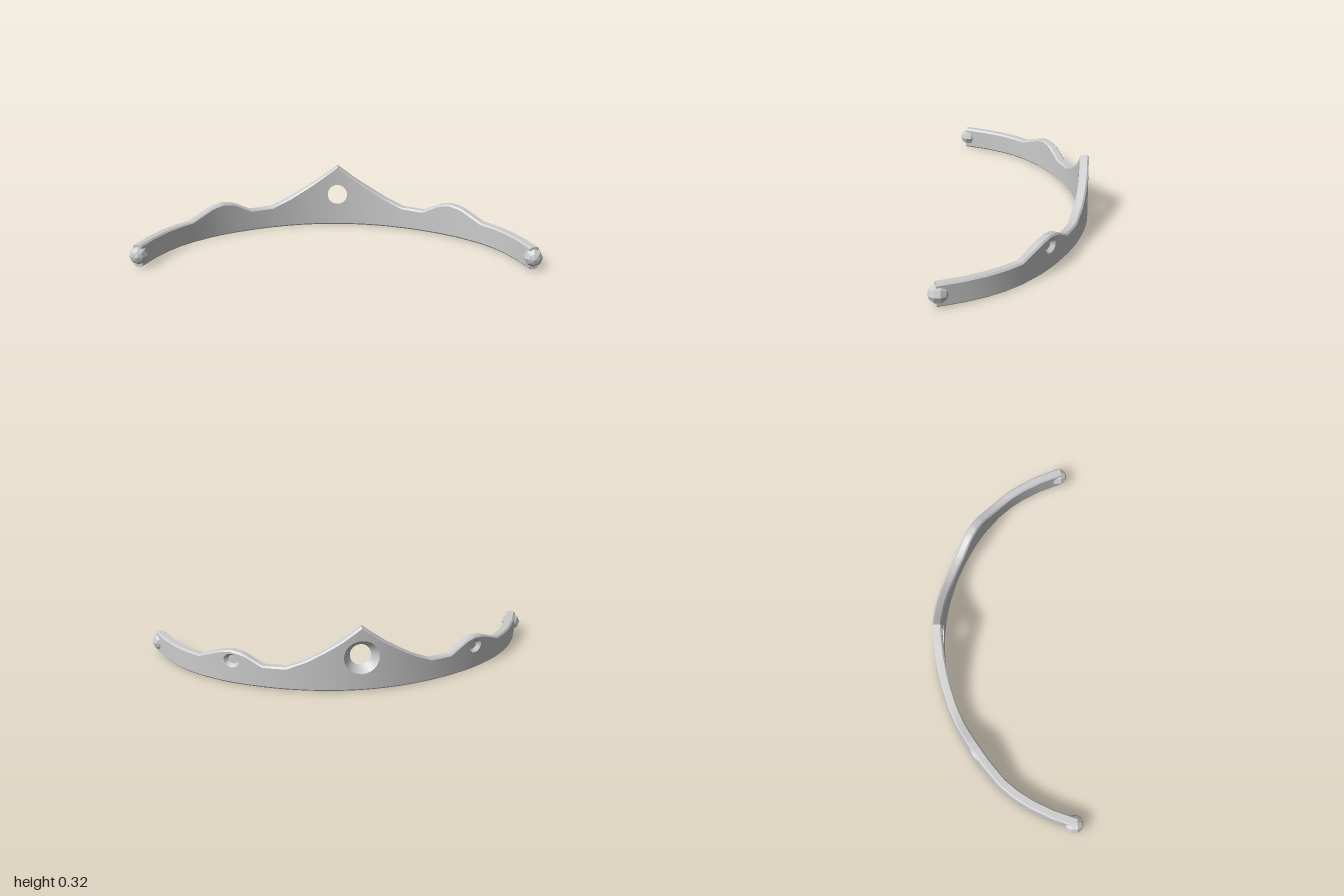
import * as THREE from 'three';
import { toCreasedNormals } from 'three/addons/utils/BufferGeometryUtils.js';

const T = 0.023; // half thickness of the band
const B = 0.008; // edge bevel

// Top outline of the right half: [x, y]
const OUTLINE = [[0, 0.325], [0.1, 0.25], [0.19, 0.195], [0.26, 0.155], [0.35, 0.115], [0.46, 0.112],
  [0.55, 0.163], [0.6, 0.172], [0.65, 0.163], [0.75, 0.113], [0.96, 0.112]];
const COLUMNS = [0.13, 0.19, 0.26, 0.35, 0.4, 0.46, 0.54, 0.66, 0.75, 0.81, 0.86, 0.91, 0.955];

// Central hole runs through and widens to the back; side sockets are shallow
const HOLES = [
  { cx: 0, cy: 0.17, outer: 0.085, floor: 0.053, depth: -T, through: true },
  { cx: 0.6, cy: 0.12, outer: 0.035, floor: 0.022, depth: 0.003, through: false },
  { cx: -0.6, cy: 0.12, outer: 0.035, floor: 0.022, depth: 0.003, through: false },
];

function topAt(x) {
  const a = Math.abs(x);
  const i = OUTLINE.findIndex((p, k) => k > 0 && p[0] >= a);
  const [x0, y0] = OUTLINE[i - 1], [x1, y1] = OUTLINE[i];
  return THREE.MathUtils.mapLinear(a, x0, x1, y0, y1);
}

// Point on the curved band, offset outwards from its centre line
function bandPoint(x, offset, y) {
  const z = -0.337 + 0.51 * x ** 2 + 0.31 * x ** 10;
  const slope = 1.02 * x + 3.1 * x ** 9;
  const n = offset / Math.hypot(slope, 1);
  return new THREE.Vector3(x + slope * n, y, z - n);
}

// Closed cross-section: inside, bottom, outside (with hole wall), top
function section({ x, hole = null, angle = 0 }) {
  let xi = x, xo = x, xf = x, hi = 0, ho = 0, hf = 0, depth = T, mid = topAt(x) / 2;
  if (hole) {
    const c = -Math.cos(angle), s = Math.sin(angle);
    xo = hole.cx + hole.outer * c;
    xf = hole.cx + hole.floor * c;
    xi = hole.through ? xf : xo;
    ho = hole.outer * s;
    hf = hole.floor * s;
    hi = hole.through ? hf : 0;
    depth = hole.depth;
    mid = hole.cy;
  }
  const ti = topAt(xi), to = topAt(xo);
  return [
    [xi, -T, mid - hi], [xi, -T, B], [xi, B - T, 0],
    [xo, T - B, 0], [xo, T, B], [xo, T, mid - ho],
    [xf, depth, mid - hf], [xf, depth, mid + hf],
    [xo, T, mid + ho], [xo, T, to - B], [xo, T - B, to],
    [xi, B - T, ti], [xi, -T, ti - B], [xi, -T, mid + hi],
  ].map(p => bandPoint(...p));
}

function bandGeometry() {
  const stations = COLUMNS.flatMap(x => [{ x }, { x: -x }]);
  for (const hole of HOLES) {
    for (let k = 0; k <= 12; k++) {
      const angle = Math.PI * k / 12;
      stations.push({ x: hole.cx - hole.outer * Math.cos(angle), hole, angle });
    }
  }
  stations.sort((a, b) => a.x - b.x);
  const loops = stations.map(section);

  const positions = [];
  const triangle = (a, b, c) => {
    const area = b.clone().sub(a).cross(c.clone().sub(a)).length();
    if (area > 1e-9) for (const p of [a, b, c]) positions.push(p.x, p.y, p.z);
  };
  for (let j = 0; j < loops.length - 1; j++) {
    const a = loops[j], b = loops[j + 1];
    const hole = stations[j].hole === stations[j + 1].hole ? stations[j].hole : null;
    for (let i = 0; i < 13; i++) {
      if (i >= 5 && i <= 7 && !hole) continue; // hole walls only inside a hole
      if (i === 6 && hole.through) continue; // no floor in the through hole
      triangle(a[i], a[i + 1], b[i + 1]);
      triangle(a[i], b[i + 1], b[i]);
    }
  }
  // End caps
  const first = loops[0], last = loops[loops.length - 1];
  for (let i = 1; i < 13; i++) {
    triangle(first[0], first[i + 1], first[i]);
    triangle(last[0], last[i], last[i + 1]);
  }
  const geometry = new THREE.BufferGeometry();
  geometry.setAttribute('position', new THREE.Float32BufferAttribute(positions, 3));
  return toCreasedNormals(geometry, 0.5);
}

export function createModel() {
  const model = new THREE.Group();
  model.name = 'tiara';

  const band = new THREE.Mesh(bandGeometry(), new THREE.MeshStandardMaterial({ color: 0xcccccc }));
  band.name = 'band';
  model.add(band);

  // Faceted knobs on both tips
  const knobMaterial = new THREE.MeshStandardMaterial({ color: 0xcccccc, flatShading: true });
  const knobGeometry = new THREE.SphereGeometry(0.047, 8, 5).rotateX(Math.PI / 2);
  for (const side of [1, -1]) {
    const knob = new THREE.Mesh(knobGeometry, knobMaterial);
    knob.name = side > 0 ? 'leftKnob' : 'rightKnob';
    knob.position.set(side * 0.953, 0.058, 0.313);
    model.add(knob);
  }
  return model;
}
